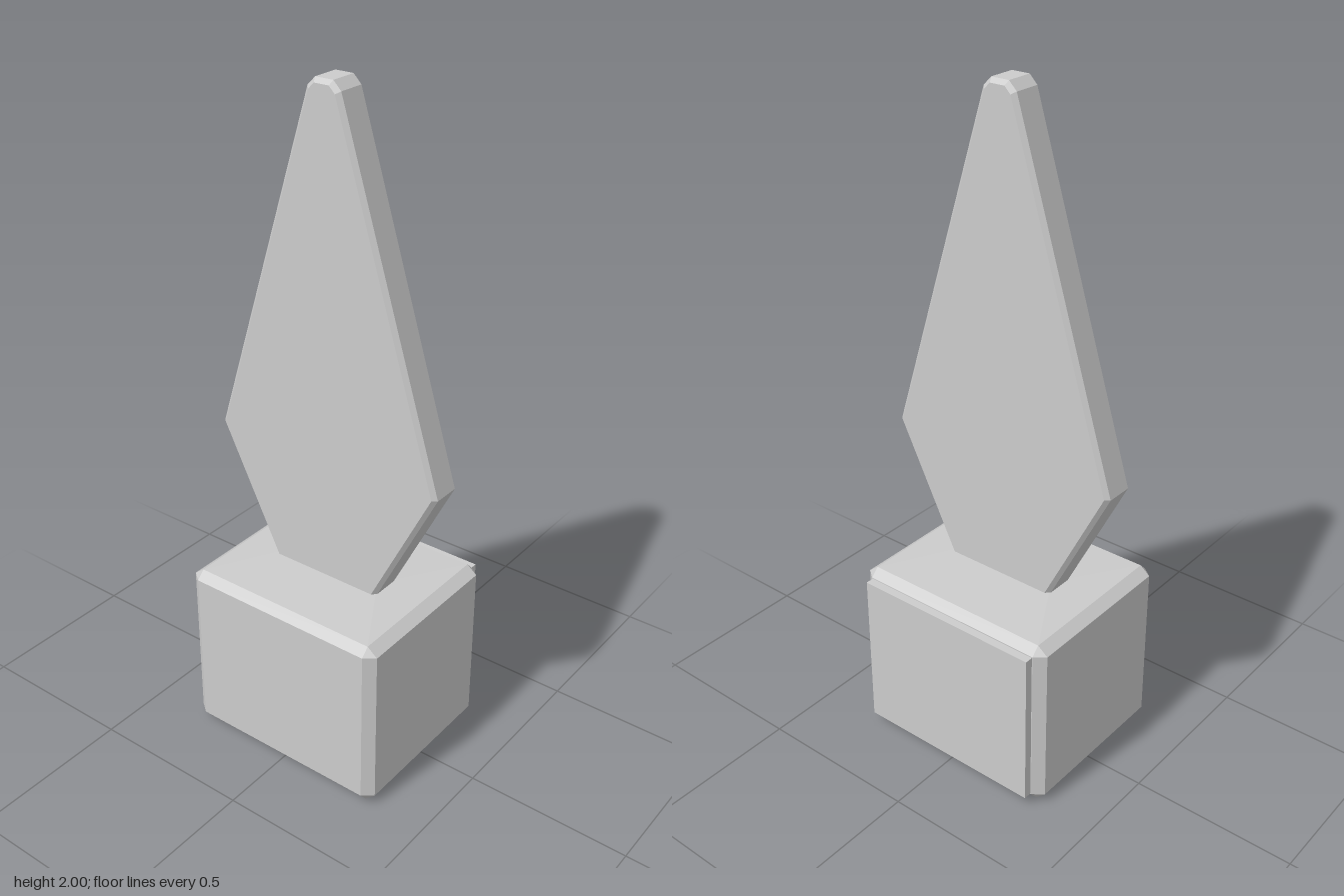
import * as THREE from 'three';
import { ConvexGeometry } from 'three/addons/geometries/ConvexGeometry.js';

const material = new THREE.MeshStandardMaterial({ color: 0xcccccc, flatShading: true });

function addMesh(group, name, geometry) {
  const mesh = new THREE.Mesh(geometry, material);
  mesh.name = name;
  group.add(mesh);
  return mesh;
}

// Four corners of a horizontal rectangle, mirrored in x
function rect(x, back, front, y) {
  const points = [];
  for (const side of [-1, 1]) {
    for (const z of [back, front]) points.push(new THREE.Vector3(side * x, y, z));
  }
  return points;
}

export function createModel() {
  const group = new THREE.Group();

  // Block with chamfered edges and a very shallow rise towards the blade
  const corners = [...rect(0.3, -0.235, 0.26, 0), ...rect(0.3, -0.235, 0.26, 0.55),
    ...rect(0.18, -0.03, 0.06, 0.557)];
  for (const y of [0.03, 0.525]) {
    corners.push(...rect(0.332, -0.235, 0.26, y), ...rect(0.3, -0.26, 0.285, y));
  }
  addMesh(group, 'baseBlock', new ConvexGeometry(corners));

  // Thin panel standing proud of the back face
  const panel = addMesh(group, 'backPanel', new THREE.BoxGeometry(0.596, 0.49, 0.045));
  panel.position.set(0, 0.277, -0.2625);

  // Upright kite-shaped blade with bevelled rims
  const half = [[0.172, 0.535], [0.375, 0.94], [0.052, 1.976], [0.028, 2]];
  const outline = [...half, ...half.map(([x, y]) => [-x, y]).reverse()];
  const shape = new THREE.Shape(outline.map(([x, y]) => new THREE.Vector2(x, y)));
  const bevel = 0.012;
  const blade = addMesh(group, 'blade', new THREE.ExtrudeGeometry(shape, {
    depth: 0.105 - 2 * bevel,
    bevelThickness: bevel,
    bevelSize: bevel,
    bevelOffset: -bevel,
    bevelSegments: 1,
  }));
  blade.position.z = -0.037 + bevel;

  return group;
}
